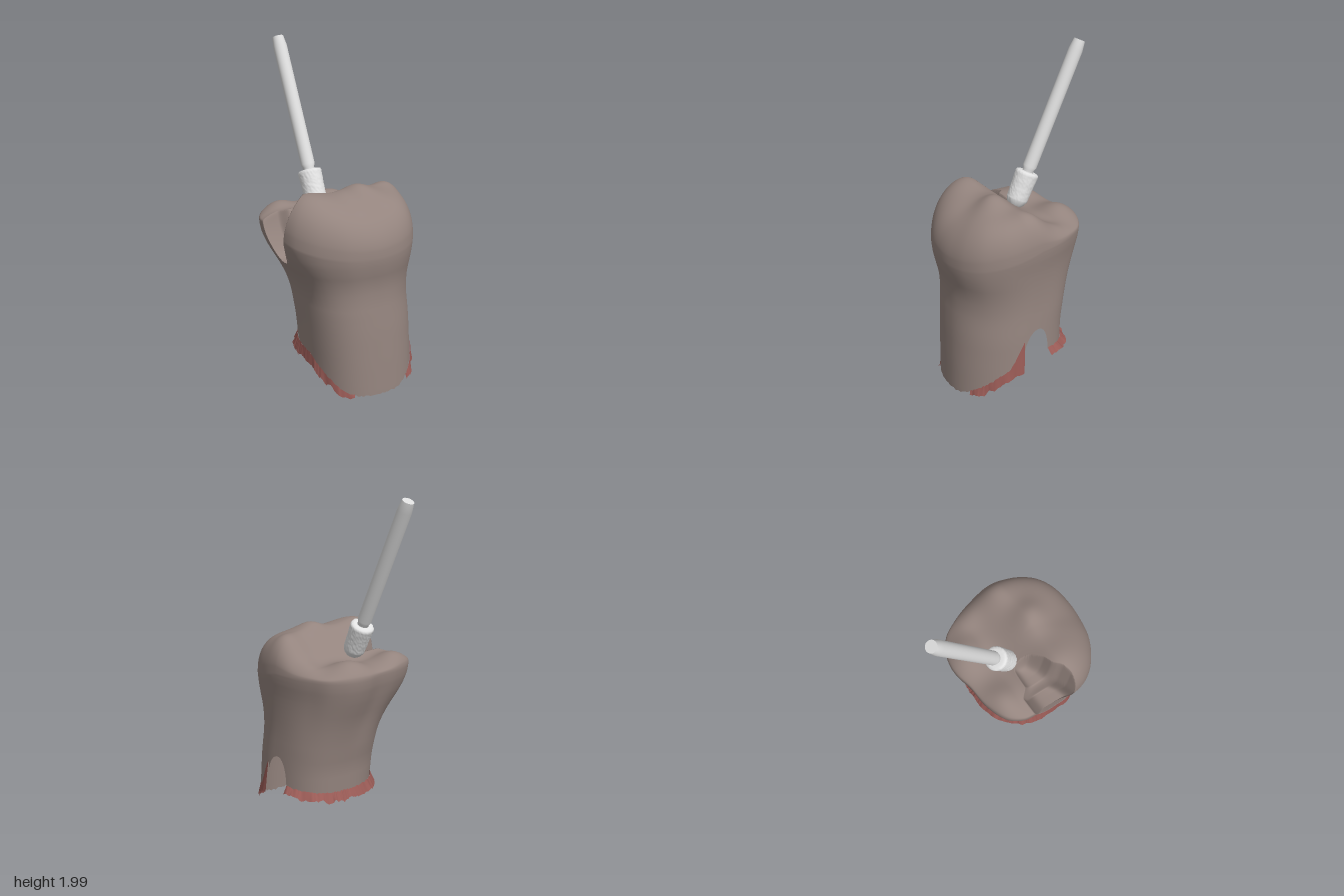
import * as THREE from 'three';

const { lerp, smoothstep, clamp } = THREE.MathUtils;
const material = (name, color, side = THREE.FrontSide) => {
  const m = new THREE.MeshStandardMaterial({ color, side });
  m.name = name;
  return m;
};
// repeatable noise in -1..1
const noise = (i, j = 0) => {
  const s = Math.sin(i * 12.9898 + j * 78.233) * 43758.5453;
  return 2 * (s - Math.floor(s)) - 1;
};
const softNoise = (i, step, j) => lerp(noise(Math.floor(i / step), j), noise(Math.floor(i / step) + 1, j), (i % step) / step);
// piecewise linear table: rows of [key, value, value...]
function table(rows, k, col = 1) {
  let i = 0;
  while (i < rows.length - 2 && k > rows[i + 1][0]) i++;
  const [a, b] = [rows[i], rows[i + 1]];
  return lerp(a[col], b[col], clamp((k - a[0]) / (b[0] - a[0]), 0, 1));
}
// rounded version of max(0, d)
const softRamp = (d, e) => (d + Math.sqrt(d * d + e * e)) / 2;
// surface through a grid of points, closed around each row
function gridGeometry(rows, keep = () => true) {
  const n = rows[0].length, index = [];
  for (let r = 0; r < rows.length - 1; r++) {
    for (let i = 0; i < n; i++) {
      const j = (i + 1) % n;
      if (!keep(i) || !keep(j)) continue;
      const a = r * n + i, b = r * n + j, c = a + n, d = b + n;
      index.push(a, c, b, b, c, d);
    }
  }
  const g = new THREE.BufferGeometry();
  g.setAttribute('position', new THREE.Float32BufferAttribute(rows.flat(2), 3));
  g.setIndex(index);
  g.computeVertexNormals();
  return g;
}

// widest crown outline as x, z
const CROWN = [
  [0.41, 0.08], [0.405, 0.2], [0.37, 0.32], [0.3, 0.42], [0.2, 0.48], [0.07, 0.505], [-0.05, 0.5],
  [-0.2, 0.465], [-0.335, 0.375], [-0.405, 0.275], [-0.425, 0.19], [-0.425, 0.1], [-0.418, 0], [-0.41, -0.08],
  [-0.395, -0.165], [-0.335, -0.245], [-0.2, -0.3], [-0.05, -0.315], [0.05, -0.338], [0.12, -0.34],
  [0.2, -0.32], [0.29, -0.26], [0.35, -0.16], [0.39, -0.05],
];
// height, right, left, back and front extents
const EXTENTS = [
  [0, -0.255, 0.405, -0.185, 0.52], [0.2, -0.265, 0.4, -0.19, 0.51], [0.4, -0.28, 0.395, -0.2, 0.497],
  [0.6, -0.3, 0.385, -0.24, 0.478], [0.7, -0.33, 0.385, -0.265, 0.48], [0.8, -0.378, 0.39, -0.3, 0.502],
  [0.87, -0.406, 0.397, -0.323, 0.508], [0.95, -0.427, 0.408, -0.342, 0.506],
];
// cusps: x, z, height, spread
const CUSPS = [
  [-0.27, 0.18, 0.038, 0.14], [0.06, 0.2, 0.047, 0.1], [0.32, 0.08, 0.04, 0.11],
  [-0.25, -0.22, 0.065, 0.13], [0.12, -0.24, 0.07, 0.14], [0.32, -0.1, 0.035, 0.09],
];
// lower edge of the wall and of the gum by depth: z, right side, left side
const EDGE = [[-0.2, 0.25, 0.25], [0.03, 0.24, 0.28], [0.2, 0.22, 0.27], [0.33, 0.13, 0.185], [0.45, 0.03, 0.075], [0.505, 0.015, 0.02]];
const GUM_EDGE = [[-0.2, 0.2, 0.21], [0.03, 0.18, 0.25], [0.2, 0.16, 0.2], [0.33, 0.08, 0.125], [0.44, 0.02, 0.045], [0.5, 0.01, 0.015]];
const CX = -0.01, CZ = 0.08, N = 440;

const columns = [];
const curve = new THREE.CatmullRomCurve3(CROWN.map(([x, z]) => new THREE.Vector3(x, 0, z)), true);
for (let i = 0; i < N; i++) {
  const p = curve.getPoint(i / N);
  const x = (p.x + 0.008) / 0.417, z = (p.z - 0.083) / 0.423;
  const a = Math.atan2(z, x), cos = Math.cos(a), sin = Math.sin(a);
  // the root is fuller along one diagonal
  columns.push({ x, z, cos, sin, root: 1 + 0.08 * Math.max(0, -2 * sin * cos) ** 2 });
}

// point on the side wall at a height
function wallPoint(c, y) {
  const e = [1, 2, 3, 4].map((k) =>
    (table(EXTENTS, y - 0.035, k) + table(EXTENTS, y, k) + table(EXTENTS, y + 0.035, k)) / 3);
  const t = smoothstep(y, 0.5, 0.9);
  const ux = lerp(c.cos * c.root, c.x, t), uz = lerp(c.sin * c.root, c.z, t);
  return [(e[0] + e[1]) / 2 + ux * (e[1] - e[0]) / 2, y, (e[2] + e[3]) / 2 + uz * (e[3] - e[2]) / 2];
}
// chewing surface height before rounding at the rim
function cuspHeight(x, z) {
  let h = 1.0 + 0.165 * smoothstep(z, -0.14, 0.17);
  for (const [cx, cz, a, s] of CUSPS) h += a * Math.exp(-((x - cx) ** 2 + (z - cz) ** 2) / (s * s));
  return h;
}
// stepped cavity: deep at the side, shallow toward the middle, rounded walls around
function cavityHeight(x, z) {
  const high = table([[-0.42, 0.16], [-0.36, 0.145], [-0.28, 0.105], [-0.2, 0.085], [-0.13, 0.045], [-0.1, 0.01]], x), low = -0.04;
  const floor = lerp(0.755, 0.93, smoothstep(x, -0.31, -0.25));
  return floor + 5 * softRamp(x + 0.125, 0.015) + 8 * softRamp(z - high, 0.02) + 4 * softRamp(low - z, 0.03);
}

function toothGeometry(bottom) {
  const rows = [], WALL = 50, TOP = 90;
  const equator = columns.map((c) => 0.98 - 0.11 * Math.max(0, c.sin));
  for (let r = 0; r <= WALL; r++) {
    rows.push(columns.map((c, i) => {
      const y = lerp(bottom[i], equator[i], r / WALL);
      const p = wallPoint(c, y), f = cavityHeight(p[0], p[2]);
      return f < y ? wallPoint(c, f) : p;
    }));
  }
  for (let r = 1; r <= TOP; r++) {
    const q = 1 - r / TOP, rho = q + 0.35 * q * (1 - q);
    rows.push(columns.map((c, i) => {
      const rim = wallPoint(c, equator[i]);
      let x = lerp(CX, rim[0], rho), z = lerp(CZ, rim[2], rho);
      const power = 7 - 4.5 * Math.max(0, c.sin) ** 2;
      const y = equator[i] + (cuspHeight(x, z) - equator[i]) * Math.sqrt(Math.max(0, 1 - rho ** power));
      const f = cavityHeight(x, z);
      if (f >= y) return [x, y, z];
      const cut = wallPoint(c, Math.min(f, equator[i]));
      x = lerp(CX, cut[0], rho);
      z = lerp(CZ, cut[2], rho);
      return [x, f, z];
    }));
  }
  return gridGeometry(rows);
}

export function createModel() {
  const model = new THREE.Group();
  model.name = 'toothWithBur';
  const enamel = material('tooth brown grey', 0x94847e, THREE.DoubleSide);
  const gumRed = material('gum red', 0x985a55, THREE.DoubleSide);
  const steel = material('steel grey', 0xdcdcdc);
  const grit = material('grit grey', 0xe2e2e2);
  const add = (parent, name, geometry, mat) => {
    const mesh = new THREE.Mesh(geometry, mat);
    mesh.name = name;
    parent.add(mesh);
    return mesh;
  };

  // ragged open lower edge with a tall notch on the left side
  const feet = columns.map((c) => wallPoint(c, 0.2));
  const edgeAt = (rows, [x, , z]) => lerp(table(rows, z, 1), table(rows, z, 2), smoothstep(x, -0.1, 0.25));
  const inNotch = ([x, , z]) => x > 0.2 && z > 0.03 && z < 0.205;
  const bottom = feet.map((p, i) => {
    const [x, , z] = p;
    if (inNotch(p)) return 0.28 + 0.17 * Math.sqrt(1 - ((z - 0.1175) / 0.088) ** 2);
    const lift = x > 0.2 && z > 0.2 ? 0.13 * Math.max(0, 1 - (z - 0.2) / 0.09) : 0;
    return Math.max(0, edgeAt(EDGE, p) + lift + 0.005 * softNoise(i, 2, 1));
  });
  add(model, 'tooth', toothGeometry(bottom), enamel);

  // torn gum strip below the wall, flaring out most at the back
  const gumRows = [0, 0.5, 1].map((t) => columns.map((c, i) => {
    const low = Math.max(0, edgeAt(GUM_EDGE, feet[i]) + 0.012 * softNoise(i, 6, 3) + 0.006 * softNoise(i, 2, 5));
    const y = lerp(bottom[i] + 0.008, Math.min(low, bottom[i]), t);
    const p = wallPoint(c, y), flare = lerp(0.036, 0.01, smoothstep(feet[i][2], -0.1, 0.3));
    const out = 0.003 + (flare + 0.007 * softNoise(i, 7, 7)) * t;
    return [p[0] + c.cos * out, y, p[2] + c.sin * out];
  }));
  add(model, 'gumStrip', gridGeometry(gumRows, (i) => feet[i][2] < 0.47 && !inNotch(feet[i])), gumRed);

  // tilted bur: origin at the top of its head
  const bur = new THREE.Group();
  bur.name = 'bur';
  bur.position.set(-0.066, 1.235, -0.14);
  bur.rotation.x = -0.452;
  model.add(bur);
  const lathe = (points, sides) => new THREE.LatheGeometry(points.map(([r, y]) => new THREE.Vector2(r, y)), sides);
  add(bur, 'shaft', lathe([[0.034, -0.01], [0.034, 0.015], [0.042, 0.035], [0.042, 0.77], [0.034, 0.832]], 32), steel);
  const cap = add(bur, 'shaftEnd', new THREE.CircleGeometry(0.034, 32), steel);
  cap.rotation.x = -Math.PI / 2;
  cap.position.y = 0.832;

  // gritty head with rounded ends
  const profile = [[0, -0.235], [0.03, -0.228], [0.052, -0.205]];
  for (let k = 0; k <= 20; k++) profile.push([lerp(0.064, 0.071, k / 20), lerp(-0.18, -0.012, k / 20)]);
  profile.push([0.066, -0.002], [0.052, 0.002], [0.03, 0.002]);
  const head = lathe(profile, 64);
  const pos = head.attributes.position, n = profile.length;
  for (let i = 0; i < pos.count; i++) {
    const s = 1 + 0.022 * noise(Math.floor(i / n) % 64, i % n);
    pos.setXYZ(i, pos.getX(i) * s, pos.getY(i), pos.getZ(i) * s);
  }
  head.computeVertexNormals();
  add(bur, 'burHead', head, grit);
  return model;
}
